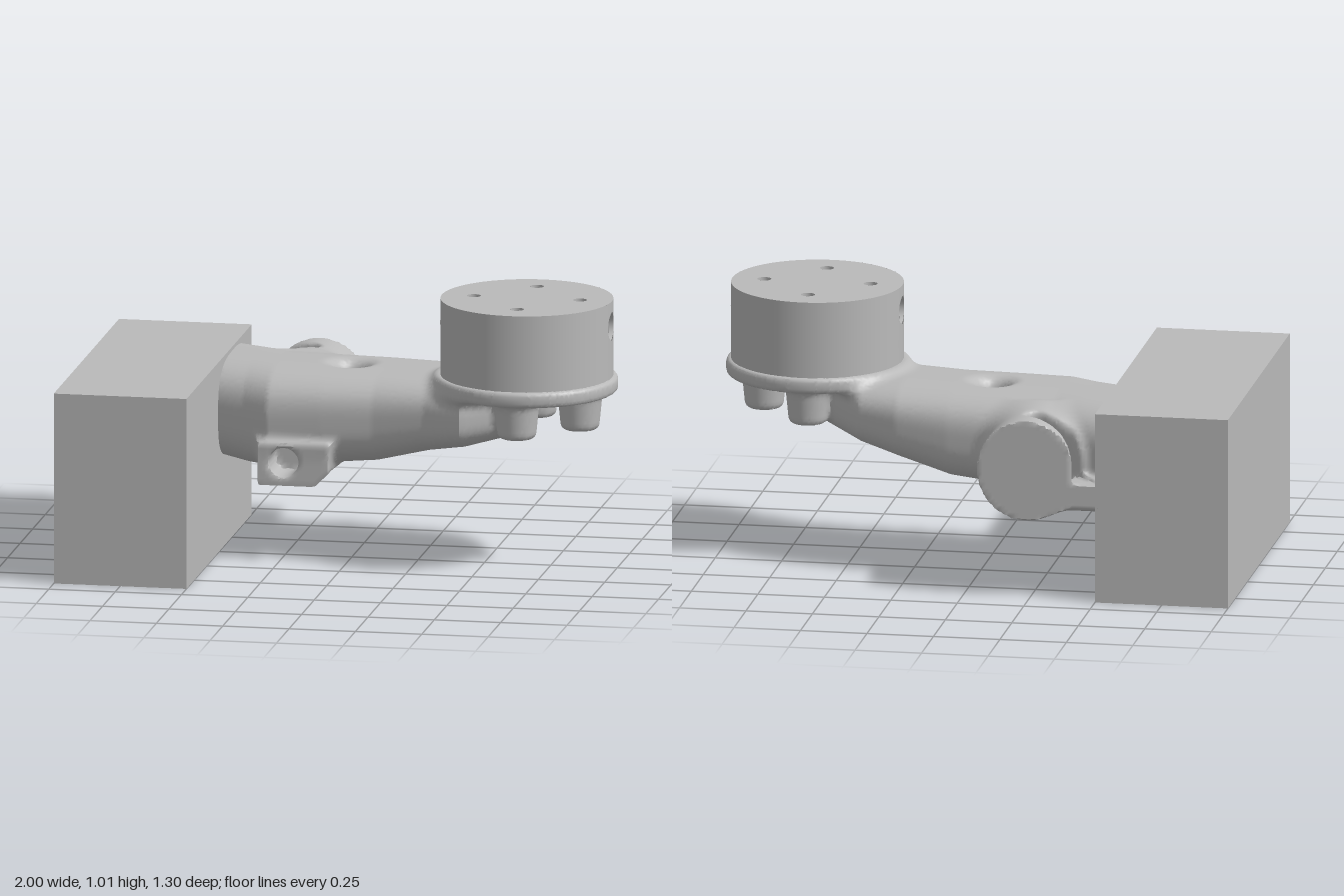
import * as THREE from 'three';
import { toCreasedNormals } from 'three/addons/utils/BufferGeometryUtils.js';

const grey = new THREE.MeshStandardMaterial({ color: 0xbababa, side: THREE.DoubleSide });
grey.name = 'grey';

const CX = 0.66, R = 0.32, LOW = 0.71, TOP = 1.01, BORE_Y = 0.915, BORE_R = 0.053;
const bolts = [[CX - 0.2, 0], [CX + 0.2, 0], [CX, -0.2], [CX, 0.2]];

// ---- distance helpers for the organic arm ----
const { min, max, abs, hypot } = Math;
const blend = (a, b, k) => {
  const h = max(k - abs(a - b), 0) / k;
  return min(a, b) - h * h * k / 4;
};
const cut = (a, b, k = 0.012) => -blend(-a, b, k);
const span = (v, a, b) => max(a - v, v - b);
const roundMax = (a, b, r) => min(max(a + r, b + r), 0) + hypot(max(a + r, 0), max(b + r, 0)) - r;
const segment = (x, z, ax, az, bx, bz) => {
  const dx = bx - ax, dz = bz - az;
  const t = min(1, max(0, ((x - ax) * dx + (z - az) * dz) / (dx * dx + dz * dz)));
  return hypot(x - ax - dx * t, z - az - dz * t);
};

// arm cross-sections: x, back z, front z, bottom y, top y
const sections = [
  [-0.55, -0.60, 0.00, 0.34, 0.705], [-0.40, -0.53, 0.06, 0.32, 0.705],
  [-0.30, -0.48, 0.12, 0.32, 0.705], [-0.10, -0.455, 0.13, 0.345, 0.705],
  [0.10, -0.43, 0.135, 0.365, 0.705], [0.30, -0.39, 0.17, 0.42, 0.705],
  [0.45, -0.33, 0.24, 0.455, 0.70], [0.62, -0.15, 0.15, 0.50, 0.69],
];

function armSection(x, y, z) {
  let i = 0;
  while (i < sections.length - 2 && x > sections[i + 1][0]) i++;
  const a = sections[i], b = sections[i + 1];
  let t = min(1, max(0, (x - a[0]) / (b[0] - a[0])));
  const [, z0, z1, y0, y1] = a.map((v, j) => v + (b[j] - v) * t);
  const hz = (z1 - z0) / 2, hy = (y1 - y0) / 2;
  const u = abs(z - (z0 + z1) / 2) / hz, v = abs(y - (y0 + y1) / 2) / hy;
  return max((Math.cbrt(u * u * u + v * v * v) - 1) * min(hz, hy), x - 0.6);
}

function bracket(x, y, z) {
  let d = armSection(x, y, z);
  // side branch ending in a flat face, with a low bridge to the block
  const branch = max((hypot((x + 0.24) / 0.185, (y - 0.49) / 0.19) - 1) * 0.185, z + 0.4);
  d = blend(d, branch, 0.06);
  const bridge = max(hypot(y - 0.4, z + 0.61) - 0.06, x + 0.3);
  d = blend(d, bridge, 0.04);
  // foot pad
  const foot = max(span(x, -0.33, -0.06), span(z, -0.17, 0.15), span(y, 0.293, 0.45),
    (x + 0.06 + (0.345 - y)) * 0.7);
  d = blend(d, foot, 0.04);
  // flange and bolt bosses
  const r = hypot(x - CX, z);
  d = blend(d, roundMax(r - 0.338, span(y, 0.662, 0.722), 0.018), 0.05);
  for (const [bx, bz] of bolts) {
    const rb = hypot(x - bx, z - bz);
    d = blend(d, roundMax(rb - 0.07 - (y - 0.52) * 0.1, span(y, 0.522, 0.70), 0.02), 0.03);
  }
  d = max(d, y - 0.722);
  // bolt holes with counterbores
  for (const [bx, bz] of bolts) {
    const rb = hypot(x - bx, z - bz);
    d = cut(d, min(rb - 0.026, max(rb - 0.045, y - 0.56)), 0.006);
  }
  // flared vertical hole
  d = cut(d, hypot(x + 0.03, z + 0.16) - 0.045 - 0.04 * Math.exp((y - 0.705) / 0.03), 0.03);
  // slanted opening and slot beside the block
  d = cut(d, segment(x, z, -0.36, -0.56, -0.26, -0.525) - 0.037, 0.02);
  d = cut(d, max(segment(x, z, -0.5, -0.68, -0.38, -0.57) - 0.035, 0.45 - y));
  // screw holes in the foot
  d = cut(d, max(hypot(x + 0.23, y - 0.38) - 0.055, 0.02 - z));
  for (const hz of [-0.14, -0.03]) {
    d = cut(d, max(hypot(z - hz, y - 0.385) - 0.028, span(x, -0.2, 0.08)));
  }
  return max(d, -0.65 - z, -0.515 - x);
}

// skins a distance function: one vertex per crossed cell, one quad per crossed edge
function skin(f, lo, hi, s) {
  const n = lo.map((v, i) => Math.ceil((hi[i] - v) / s) + 1);
  const step = [1, n[0], n[0] * n[1]];
  const val = new Float32Array(n[0] * n[1] * n[2]);
  const at = (i, j, k) => i + j * step[1] + k * step[2];
  const each = (a, b, fn) => {
    for (let k = a; k < n[2] - b; k++)
      for (let j = a; j < n[1] - b; j++)
        for (let i = a; i < n[0] - b; i++) fn(at(i, j, k), i, j, k);
  };
  each(0, 0, (q, i, j, k) => { val[q] = f(lo[0] + i * s, lo[1] + j * s, lo[2] + k * s); });
  const vert = new Int32Array(val.length).fill(-1), pos = [], index = [];
  each(0, 1, (q, i, j, k) => {
    const sum = [0, 0, 0];
    let hits = 0;
    for (let c = 0; c < 8; c++) for (let a = 0; a < 3; a++) {
      if (c >> a & 1) continue;
      const o = [c & 1, c >> 1 & 1, c >> 2 & 1];
      const p = q + o[0] + o[1] * step[1] + o[2] * step[2];
      const v0 = val[p], v1 = val[p + step[a]];
      if ((v0 < 0) === (v1 < 0)) continue;
      o[a] += v0 / (v0 - v1);
      for (let m = 0; m < 3; m++) sum[m] += o[m];
      hits++;
    }
    if (!hits) return;
    const p = [i, j, k].map((g, m) => lo[m] + (g + sum[m] / hits) * s);
    // pull the vertex onto the surface
    const e = 0.002, d = f(...p);
    const g = [0, 1, 2].map(m => (f(...p.map((v, w) => v + (w === m ? e : 0))) - d) / e);
    const len = g[0] ** 2 + g[1] ** 2 + g[2] ** 2 + 1e-6;
    vert[q] = pos.length / 3;
    pos.push(...p.map((v, m) => v - max(-s / 3, min(s / 3, g[m] * d / len))));
  });
  each(1, 1, q => {
    for (let a = 0; a < 3; a++) {
      const inside = val[q] < 0;
      if (inside === (val[q + step[a]] < 0)) continue;
      const b = step[(a + 1) % 3], c = step[(a + 2) % 3];
      const w = [q, q - b, q - b - c, q - c].map(v => vert[v]);
      if (!inside) w.reverse();
      index.push(w[0], w[1], w[2], w[0], w[2], w[3]);
    }
  });
  const geo = new THREE.BufferGeometry();
  geo.setAttribute('position', new THREE.Float32BufferAttribute(pos, 3));
  geo.setIndex(index);
  return toCreasedNormals(geo, 0.75);
}

// curved wall panel around the cross bore
function borePanel() {
  const w = 0.1, geo = new THREE.PlaneGeometry(1, 1, 64, 6), p = geo.attributes.position;
  const corners = [[-w, LOW], [w, LOW], [w, TOP], [-w, TOP], [-w, LOW]];
  for (let i = 0; i < p.count; i++) {
    const u = (p.getX(i) + 0.5) * 4, v = p.getY(i) + 0.5;
    const k = min(3, Math.floor(u)), t = u - k;
    const z = corners[k][0] + (corners[k + 1][0] - corners[k][0]) * t;
    const y = corners[k][1] + (corners[k + 1][1] - corners[k][1]) * t - BORE_Y;
    const g = v + (1 - v) * BORE_R / hypot(z, y);
    p.setXYZ(i, Math.sqrt(R * R - z * z * g * g), BORE_Y + y * g, z * g);
  }
  geo.computeVertexNormals();
  return geo;
}

export function createModel() {
  const model = new THREE.Group();
  const add = (name, geo, x = 0, y = 0, z = 0, parent = model) => {
    const m = new THREE.Mesh(geo, grey);
    m.name = name;
    m.position.set(x, y, z);
    parent.add(m);
    return m;
  };

  add('mountingBlock', new THREE.BoxGeometry(0.5, 0.72, 1.3), -0.75, 0.36, 0);
  add('organicArm', skin(bracket, [-0.545, 0.262, -0.683], [1.03, 0.75, 0.37], 0.0125));

  // round head with a cross bore and four bolt holes
  const head = new THREE.Group();
  head.name = 'roundHead';
  head.position.x = CX;
  model.add(head);
  const w = Math.asin(0.1 / R);
  for (const side of [0, 1]) {
    add('borePanel', borePanel(), 0, 0, 0, head).rotation.y = side * Math.PI;
    add('headWall', new THREE.CylinderGeometry(R, R, TOP - LOW, 40, 1, true,
      Math.PI / 2 + w + side * Math.PI, Math.PI - 2 * w), 0, (TOP + LOW) / 2, 0, head);
  }
  const disc = new THREE.Shape().absarc(0, 0, R, 0, Math.PI * 2);
  for (const [x, z] of bolts) {
    disc.holes.push(new THREE.Path().absarc(x - CX, -z, 0.026, 0, Math.PI * 2, true));
    const spans = z ? [[0.70, TOP]] : [[0.70, BORE_Y - 0.048], [BORE_Y + 0.048, TOP]];
    for (const [a, b] of spans) {
      add('boltHole', new THREE.CylinderGeometry(0.026, 0.026, b - a, 20, 1, true), x - CX, (a + b) / 2, z, head);
    }
  }
  add('headTop', new THREE.ShapeGeometry(disc, 48), 0, TOP, 0, head).rotation.x = -Math.PI / 2;
  add('crossBore', new THREE.CylinderGeometry(BORE_R, BORE_R, R * 1.98, 32, 1, true), 0, BORE_Y, 0, head)
    .rotation.z = Math.PI / 2;
  return model;
}
